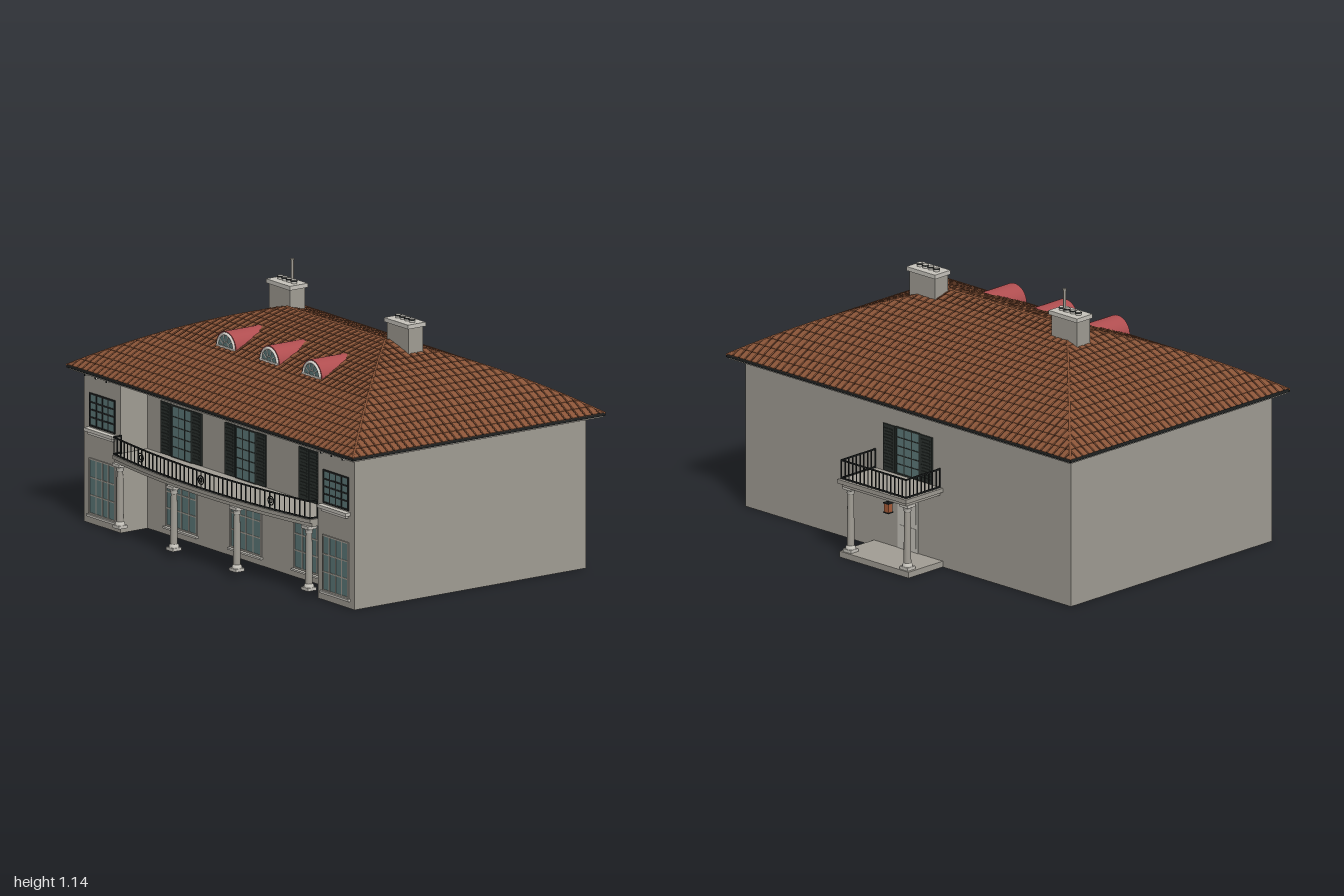
import * as THREE from 'three';
import { mergeGeometries } from 'three/addons/utils/BufferGeometryUtils.js';

const paint = (name, color) => {
  const m = new THREE.MeshStandardMaterial({ color });
  m.name = name;
  return m;
};

export function createModel() {
  const wall = paint('wall', 0xa29e95), stone = paint('stone', 0xc8c5bd), white = paint('white trim', 0xe0ddd6);
  const glass = paint('glass', 0x5e7a7a), iron = paint('iron', 0x1f2222);
  const shutterPaint = paint('shutter', 0x2a302d), tile = paint('tile', 0x8a5437);
  const groove = paint('tile groove', 0x46291b), red = paint('dormer red', 0xb04e50);
  const copper = paint('lantern copper', 0xa85c38);
  const model = new THREE.Group();
  model.name = 'villa';

  // Merge pieces of one colour into a named mesh
  const add = (name, mat, geos) => {
    const list = geos.map(g => {
      const n = g.index ? g.toNonIndexed() : g;
      n.deleteAttribute('uv');
      return n;
    });
    const mesh = new THREE.Mesh(mergeGeometries(list), mat);
    mesh.name = name;
    model.add(mesh);
  };
  const B = (x0, x1, y0, y1, z0, z1) => new THREE.BoxGeometry(x1 - x0, y1 - y0, z1 - z0)
    .translate((x0 + x1) / 2, (y0 + y1) / 2, (z0 + z1) / 2);
  // Plate standing out from a wall at z, towards the front (d = 1) or back (d = -1)
  const plate = (x0, x1, y0, y1, z, d, t) => B(x0, x1, y0, y1, Math.min(z, z + d * t), Math.max(z, z + d * t));

  // Walls: main block with two forward end wings
  add('walls', wall, [B(-0.945, 0.945, 0, 0.655, -0.54, 0.52),
    B(-0.945, -0.69, 0, 0.655, 0.52, 0.66), B(0.69, 0.945, 0, 0.655, 0.52, 0.66)]);

  // Roof: four bowed, hipped slopes of ribbed tile courses
  const run = 0.655, midZ = 0.055;
  const roofY = t => 0.667 + 0.283 * (t + 0.45 * t * (1 - t));
  const section = [[0, 0], [0.16, 0], [0.24, 0.003], [0.92, 0.003], [1, 0]];
  const slope = (name, ox, oz, half, out) => {
    const n = Math.round(half * 2 / 0.035), w = half * 2 / n, courses = 16;
    const pos = [[], []];
    const point = (u, t, lift) => {
      const tc = Math.max(0, Math.min(t, 1, (half - Math.abs(u)) / run)), r = out - run * tc;
      return [oz * u + ox * r, roofY(tc) + lift, -ox * u + oz * r + midZ];
    };
    for (let i = 0; i < n; i++) for (let k = 0; k < 4; k++) {
      const [s0, h0] = section[k], [s1, h1] = section[k + 1];
      const u0 = -half + (i + s0) * w, u1 = -half + (i + s1) * w;
      const top = Math.min(1, (half - Math.min(Math.abs(u0), Math.abs(u1))) / run);
      const quad = (ta, la, tb, lb) => {
        const a = point(u0, ta, h0 + la), b = point(u1, ta, h1 + la);
        const c = point(u1, tb, h1 + lb), d = point(u0, tb, h0 + lb);
        pos[k === 0 ? 0 : 1].push(...a, ...b, ...c, ...a, ...c, ...d);
      };
      for (let j = 0; j < courses && j / courses < top; j++) {
        quad(j / courses, 0, j / courses, 0.002);
        quad(j / courses, 0.002, (j + 1) / courses, 0);
      }
    }
    pos.forEach((p, i) => {
      const g = new THREE.BufferGeometry();
      g.setAttribute('position', new THREE.Float32BufferAttribute(p, 3));
      g.computeVertexNormals();
      add(name + (i ? ' tiles' : ' grooves'), i ? tile : groove, [g]);
    });
  };
  slope('front roof', 0, 1, 1, run);
  slope('back roof', 0, -1, 1, run);
  slope('left roof', 1, 0, run, 1);
  slope('right roof', -1, 0, run, 1);
  // Hip and ridge caps
  const caps = [new THREE.CylinderGeometry(0.007, 0.007, 0.69, 8).rotateZ(Math.PI / 2).translate(0, 0.95, midZ)];
  for (const sx of [-1, 1]) for (const sz of [-1, 1]) {
    const pts = [];
    for (let i = 0; i <= 10; i++) {
      const t = i / 10;
      pts.push(new THREE.Vector3(sx * (1 - run * t), roofY(t), midZ + sz * run * (1 - t)));
    }
    caps.push(new THREE.TubeGeometry(new THREE.CatmullRomCurve3(pts), 20, 0.005, 6));
  }
  add('roof caps', tile, caps);
  // Eaves: dark edge, pale underside, small brackets with dark ends
  add('eave edge', iron, [B(-1, 1, 0.657, 0.672, midZ - run, midZ + run)]);
  add('soffit', wall, [B(-0.995, 0.995, 0.651, 0.657, midZ - 0.65, midZ + 0.65)]);
  const brackets = [], bracketEnds = [];
  for (let i = -12; i <= 12; i++) {
    const x = i * 0.075, z = Math.abs(i) > 9 ? 0.66 : 0.52;
    brackets.push(B(x - 0.004, x + 0.004, 0.638, 0.651, z, z + 0.03));
    bracketEnds.push(B(x - 0.004, x + 0.004, 0.638, 0.651, z + 0.03, z + 0.032));
  }
  add('eave brackets', stone, brackets);
  add('bracket ends', iron, bracketEnds);

  // Dormers: barrel roofs with fan windows
  for (const x of [-0.303, 0, 0.297]) {
    add('dormer', red, [new THREE.CylinderGeometry(0.07, 0.07, 0.2, 28, 1, false, Math.PI / 2, Math.PI)
      .rotateX(Math.PI / 2).translate(x, 0.835, 0.3)]);
    add('dormer glass', glass, [new THREE.CircleGeometry(0.056, 24, 0, Math.PI).translate(x, 0.837, 0.402)]);
    const bars = [new THREE.TorusGeometry(0.057, 0.007, 6, 24, Math.PI).translate(x, 0.837, 0.4),
      new THREE.TorusGeometry(0.022, 0.002, 4, 16, Math.PI).translate(x, 0.837, 0.402),
      B(x - 0.064, x + 0.064, 0.832, 0.841, 0.398, 0.406)];
    for (let i = 1; i < 5; i++) bars.push(B(0.022, 0.055, -0.0015, 0.0015, 0, 0.003)
      .rotateZ(i * Math.PI / 5).translate(x, 0.837, 0.402));
    add('dormer fan frame', white, bars);
  }

  // Chimneys
  for (const x of [-0.415, 0.41]) {
    add('chimney shaft', wall, [B(x - 0.075, x + 0.075, 0.84, 1.025, -0.036, 0.04)]);
    add('chimney cap', stone, [B(x - 0.083, x + 0.083, 1.022, 1.04, -0.045, 0.048)]);
    const pots = [], rims = [];
    for (let i = 0; i < 4; i++) {
      const px = x - 0.048 + i * 0.032;
      pots.push(new THREE.CylinderGeometry(0.013, 0.013, 0.014, 14).translate(px, 1.047, 0));
      rims.push(new THREE.CylinderGeometry(0.0145, 0.0145, 0.006, 14, 1, true).translate(px, 1.051, 0));
    }
    add('chimney pots', stone, pots);
    add('pot rims', iron, rims);
  }
  add('flue pipe', wall, [new THREE.CylinderGeometry(0.006, 0.006, 0.1, 10).translate(-0.39, 1.085, -0.008),
    new THREE.CylinderGeometry(0.009, 0.009, 0.006, 10).translate(-0.39, 1.137, -0.008)]);

  // Window: glass plate, outer frame and glazing bars
  const windowAt = (name, x, w, y0, y1, z, d, cols, rows, frame, bar) => {
    const x0 = x - w / 2, x1 = x + w / 2, f = 0.007;
    add(name + ' glass', glass, [plate(x0, x1, y0, y1, z, d, 0.002)]);
    const bars = [plate(x0 - f, x0, y0 - f, y1 + f, z, d, 0.005), plate(x1, x1 + f, y0 - f, y1 + f, z, d, 0.005),
      plate(x0, x1, y0 - f, y0, z, d, 0.005), plate(x0, x1, y1, y1 + f, z, d, 0.005)];
    for (let i = 1; i < cols; i++) {
      const c = x0 + w * i / cols;
      bars.push(plate(c - bar / 2, c + bar / 2, y0, y1, z, d, 0.004));
    }
    for (let i = 1; i < rows; i++) {
      const c = y0 + (y1 - y0) * i / rows;
      bars.push(plate(x0, x1, c - bar / 2, c + bar / 2, z, d, 0.004));
    }
    add(name + ' frame', frame, bars);
  };
  // Louvred shutter
  const shutter = (x, w, y0, y1, z, d) => {
    const slats = [plate(x - w / 2, x + w / 2, y0, y1, z, d, 0.007)];
    for (let y = y0 + 0.015; y < y1 - 0.01; y += 0.014)
      slats.push(plate(x - w / 2 + 0.01, x + w / 2 - 0.01, y, y + 0.006, z, d, 0.01));
    add('shutter', shutterPaint, slats);
  };

  // Wing windows
  for (const s of [-1, 1]) {
    const x = s * 0.815;
    windowAt('wing upper window', x, 0.165, 0.425, 0.555, 0.66, 1, 4, 4, iron, 0.007);
    add('wing sill', stone, [B(x - 0.1, x + 0.1, 0.398, 0.412, 0.66, 0.685),
      B(x - 0.085, x + 0.085, 0.385, 0.398, 0.66, 0.675), B(x - 0.1, x + 0.1, 0.03, 0.04, 0.66, 0.672)]);
    windowAt('wing lower window', x, 0.17, 0.047, 0.275, 0.66, 1, 4, 3, wall, 0.006);
  }
  // Recessed facade windows and shutters
  for (const x of [-0.45, 0, 0.445]) {
    windowAt('ground window', x, 0.205, 0.045, 0.26, 0.52, 1, 4, 3, wall, 0.006);
    add('ground sill', stone, [B(x - 0.115, x + 0.115, 0.028, 0.036, 0.52, 0.535)]);
  }
  for (const x of [-0.45, 0]) {
    windowAt('balcony door', x, 0.13, 0.345, 0.56, 0.52, 1, 3, 5, shutterPaint, 0.004);
    for (const s of [-1, 1]) shutter(x + s * 0.108, 0.068, 0.345, 0.568, 0.52, 1);
  }
  for (const s of [-1, 1]) shutter(0.445 + s * 0.036, 0.068, 0.345, 0.568, 0.52, 1);

  // Turned column with square foot and head
  const columnAt = (x, z, y0, y1) => {
    const h = y1 - y0;
    const lathe = pts => new THREE.LatheGeometry(pts.map(p => new THREE.Vector2(...p)), 14).translate(x, y0, z);
    add('column shaft', wall, [lathe([[0.016, 0.028], [0.0155, h * 0.4], [0.0135, h - 0.035]])]);
    add('column ends', stone, [lathe([[0.022, 0.012], [0.022, 0.02], [0.016, 0.028]]),
      lathe([[0.0135, h - 0.035], [0.017, h - 0.03], [0.015, h - 0.024], [0.022, h - 0.012]]),
      B(x - 0.023, x + 0.023, y0, y0 + 0.013, z - 0.023, z + 0.023),
      B(x - 0.024, x + 0.024, y1 - 0.013, y1, z - 0.024, z + 0.024)]);
  };
  // Iron railing along a list of [x, z] points
  const railing = (name, pts, y0, y1, gap) => {
    const geos = [];
    for (let i = 0; i < pts.length - 1; i++) {
      const [ax, az] = pts[i], [bx, bz] = pts[i + 1], len = Math.hypot(bx - ax, bz - az);
      for (const y of [y0 + 0.005, y1 - 0.003]) geos.push(new THREE.BoxGeometry(len + 0.004, 0.006, 0.006)
        .rotateY(-Math.atan2(bz - az, bx - ax)).translate((ax + bx) / 2, y, (az + bz) / 2));
      const n = Math.max(1, Math.round(len / gap));
      for (let k = 0; k <= n; k++) {
        const x = ax + (bx - ax) * k / n, z = az + (bz - az) * k / n;
        geos.push(B(x - 0.002, x + 0.002, y0, y1, z - 0.002, z + 0.002));
      }
    }
    add(name, iron, geos);
  };

  // Bowed front balcony
  const bow = x => 0.76 - 0.121 * x * x;
  const bowSlab = (inset, yTop, h) => {
    const s = new THREE.Shape();
    s.moveTo(-0.69, 0.52);
    for (let i = 0; i <= 24; i++) s.lineTo(-0.69 + 1.38 * i / 24, bow(-0.69 + 1.38 * i / 24) - inset);
    s.lineTo(0.69, 0.52);
    return new THREE.ExtrudeGeometry(s, { depth: h, bevelEnabled: false }).rotateX(Math.PI / 2).translate(0, yTop, 0);
  };
  add('balcony slab', wall, [bowSlab(0, 0.342, 0.016)]);
  add('balcony beam', wall, [bowSlab(0.01, 0.326, 0.016)]);
  const rail = [[-0.685, 0.66]];
  for (let i = 0; i <= 23; i++) {
    const x = -0.685 + 1.37 * i / 23;
    rail.push([x, bow(x) - 0.005]);
  }
  rail.push([0.685, 0.66]);
  railing('balcony railing', rail, 0.342, 0.422, 0.03);
  add('railing rosettes', iron, [-0.455, 0, 0.455].flatMap(x => [0.019, 0.009].map(r =>
    new THREE.TorusGeometry(r, 0.0025, 5, 16).translate(x, 0.382, bow(x) - 0.004))));
  for (const x of [-0.66, -0.22, 0.22, 0.66]) columnAt(x, bow(x) - 0.022, 0.033, 0.311);

  // Back porch with balcony, door and lantern
  add('porch floor', wall, [B(-0.2, 0.2, 0, 0.026, -0.745, -0.54)]);
  add('porch beam', wall, [B(-0.185, 0.185, 0.312, 0.328, -0.745, -0.54)]);
  add('porch slab', wall, [B(-0.2, 0.2, 0.328, 0.346, -0.76, -0.54)]);
  for (const x of [-0.165, 0.165]) columnAt(x, -0.715, 0.026, 0.313);
  railing('porch railing', [[-0.188, -0.545], [-0.188, -0.747], [0.188, -0.747], [0.188, -0.545]], 0.346, 0.432, 0.022);
  windowAt('porch balcony door', 0, 0.13, 0.355, 0.55, -0.54, -1, 3, 5, shutterPaint, 0.004);
  for (const s of [-1, 1]) shutter(s * 0.108, 0.068, 0.35, 0.555, -0.54, -1);
  add('back door', stone, [plate(-0.06, 0.06, 0.026, 0.26, -0.54, -1, 0.003),
    ...[[0.045, 0.13], [0.15, 0.24]].flatMap(([a, b]) => [-0.027, 0.027].map(c =>
      plate(c - 0.02, c + 0.02, a, b, -0.54, -1, 0.005)))]);
  add('lantern', copper, [B(-0.013, 0.013, 0.225, 0.263, -0.673, -0.647)]);
  add('lantern chain', iron, [B(-0.002, 0.002, 0.263, 0.313, -0.662, -0.658),
    B(-0.015, 0.015, 0.262, 0.267, -0.675, -0.645), B(-0.015, 0.015, 0.221, 0.226, -0.675, -0.645)]);

  return model;
}
